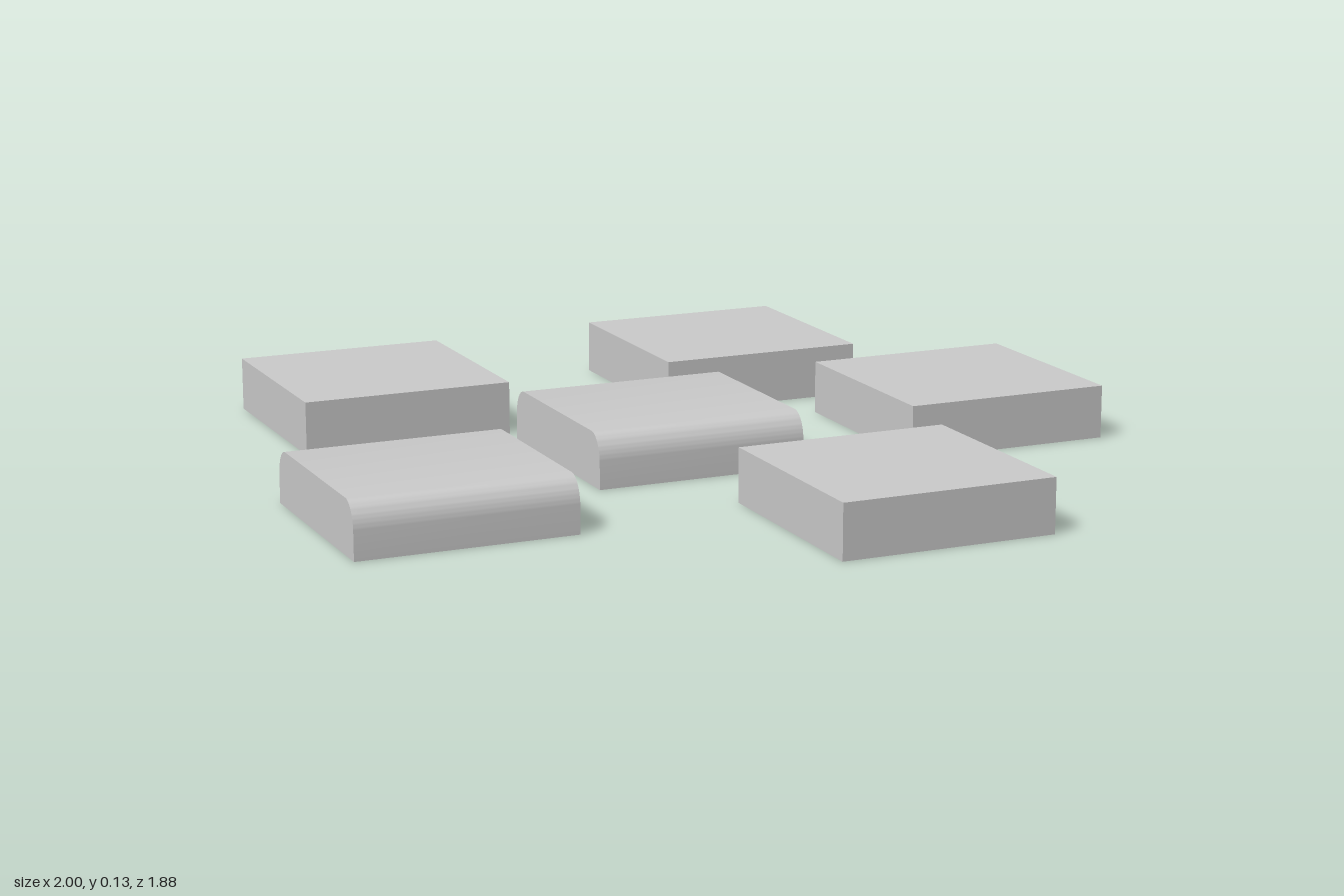
import * as THREE from 'three';
import { toCreasedNormals } from 'three/addons/utils/BufferGeometryUtils.js';

const SIZE = 0.517, HEIGHT = 0.129;

// Square slab standing on y = 0
function squareSlab() {
  return new THREE.BoxGeometry(SIZE, HEIGHT, SIZE).translate(0, HEIGHT / 2, 0);
}

// Same slab with its front and back top edges rounded over
function roundedSlab() {
  const h = SIZE / 2, rz = 0.048, ry = 0.065;
  const profile = new THREE.Shape();
  profile.moveTo(-h, 0);
  profile.lineTo(h, 0);
  profile.lineTo(h, HEIGHT - ry);
  profile.absellipse(h - rz, HEIGHT - ry, rz, ry, 0, Math.PI / 2, false);
  profile.lineTo(-h + rz, HEIGHT);
  profile.absellipse(-h + rz, HEIGHT - ry, rz, ry, Math.PI / 2, Math.PI, false);
  profile.closePath();
  const geometry = new THREE.ExtrudeGeometry(profile, {
    depth: SIZE, bevelEnabled: false, curveSegments: 10,
  });
  geometry.translate(0, 0, -h).rotateY(Math.PI / 2);
  return toCreasedNormals(geometry, Math.PI / 6);
}

export function createModel() {
  const group = new THREE.Group();
  group.name = 'steppingSlabs';
  const material = new THREE.MeshStandardMaterial({ color: 0xcccccc });
  const square = squareSlab();
  const rounded = roundedSlab();

  // Slab name, shape and centre (x, z)
  const slabs = [
    ['backRightSlab', square, -0.554, -0.643],
    ['backLeftSlab', square, 0.405, -0.684],
    ['centreRoundedSlab', rounded, -0.042, -0.064],
    ['leftSlab', square, 0.741, -0.02],
    ['rightRoundedSlab', rounded, -0.741, 0.261],
    ['frontSlab', square, 0.2, 0.682],
  ];
  for (const [name, geometry, x, z] of slabs) {
    const slab = new THREE.Mesh(geometry, material);
    slab.name = name;
    slab.position.set(x, 0, z);
    group.add(slab);
  }
  return group;
}
